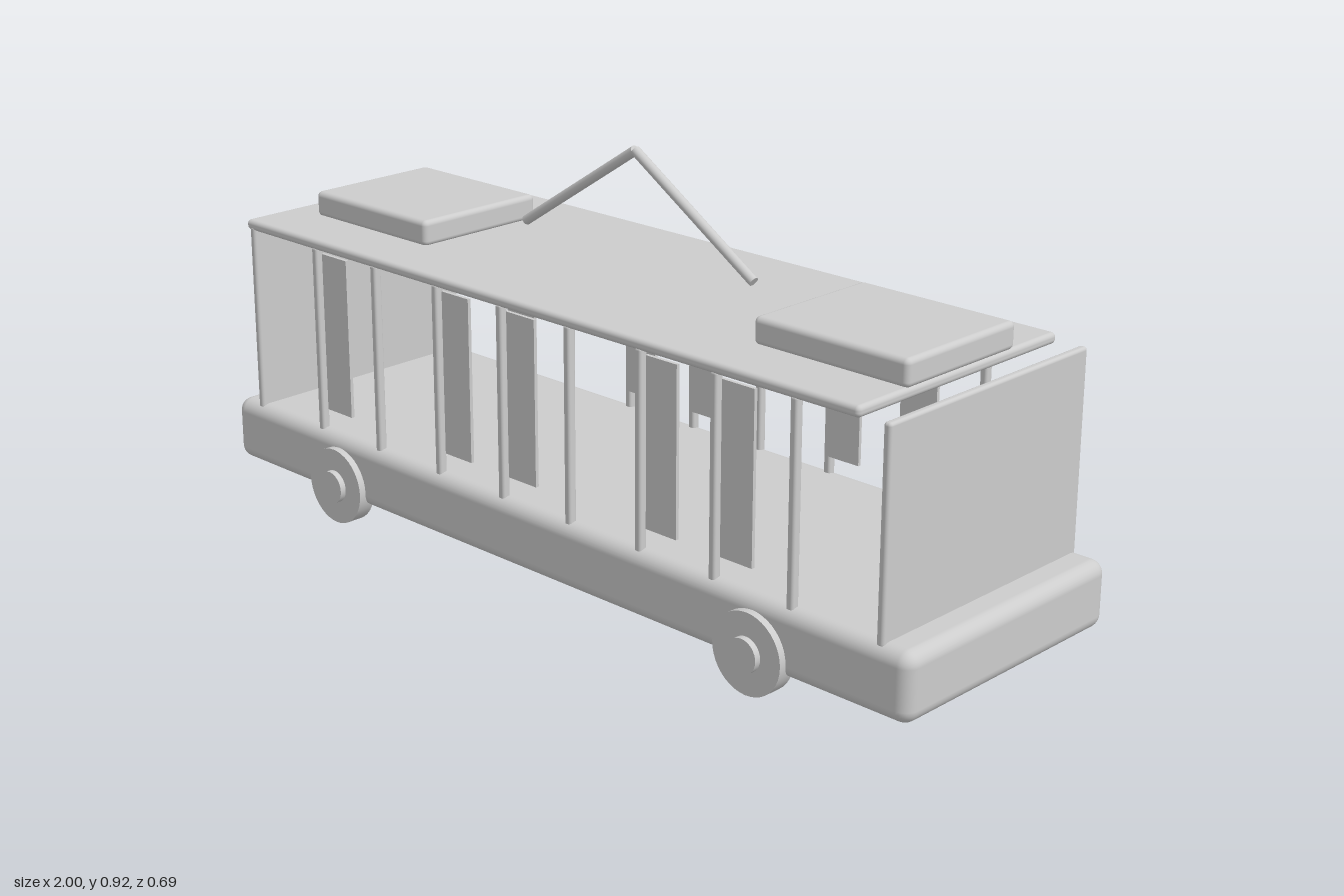
import * as THREE from 'three';
import { RoundedBoxGeometry } from 'three/addons/geometries/RoundedBoxGeometry.js';

export function createModel() {
  const model = new THREE.Group();
  model.name = 'openTram';
  const grey = new THREE.MeshStandardMaterial({ color: 0xcccccc });
  grey.name = 'plain grey';

  const add = (name, geometry, x, y, z) => {
    const mesh = new THREE.Mesh(geometry, grey);
    mesh.name = name;
    mesh.position.set(x, y, z);
    model.add(mesh);
    return mesh;
  };
  // rounded box given by its x and y ranges, depth and centre z
  const block = (name, x0, x1, y0, y1, depth, radius, z = 0) =>
    add(name, new RoundedBoxGeometry(x1 - x0, y1 - y0, depth, 4, radius),
      (x0 + x1) / 2, (y0 + y1) / 2, z);

  // chassis, roof and end walls
  block('chassis', -1, 1, 0.054, 0.2, 0.63, 0.03);
  block('roof', -0.94, 0.856, 0.617, 0.641, 0.606, 0.01);
  for (const x of [-0.92, 0.92]) block('endWall', x - 0.009, x + 0.009, 0.19, 0.628, 0.606, 0.007);

  // roof boxes
  block('roofBoxRear', -0.857, -0.48, 0.638, 0.696, 0.33, 0.012);
  block('roofBoxFront', 0.478, 0.856, 0.638, 0.696, 0.33, 0.012);

  for (const side of [-1, 1]) {
    // side posts
    for (let i = 0; i < 8; i++) {
      const x = -0.7 + i * 0.2;
      block('post', x - 0.009, x + 0.009, 0.19, 0.622, 0.02, 0.006, side * 0.291);
    }
    // hanging side panels next to some of the posts
    for (const x of [-0.7, -0.3, -0.1, 0.3, 0.5]) {
      add('sidePanel', new THREE.BoxGeometry(0.086, 0.365, 0.008), x + 0.048, 0.423, side * 0.281);
    }
    // wheels with hubs
    for (const x of [-0.62, 0.62]) {
      add('wheel', new THREE.CylinderGeometry(0.087, 0.087, 0.04, 40), x, 0.087, side * 0.311).rotation.x = Math.PI / 2;
      add('hub', new THREE.CylinderGeometry(0.037, 0.037, 0.05, 32), x, 0.087, side * 0.32).rotation.x = Math.PI / 2;
    }
    // angled current collector arm
    const foot = new THREE.Vector3(side * 0.332, 0.697, 0);
    const tip = new THREE.Vector3(0, 0.91, 0);
    const span = tip.clone().sub(foot);
    const arm = add('collectorArm', new THREE.CylinderGeometry(0.011, 0.011, span.length(), 16),
      foot.x / 2, (foot.y + tip.y) / 2, 0);
    arm.quaternion.setFromUnitVectors(new THREE.Vector3(0, 1, 0), span.normalize());
  }
  return model;
}
